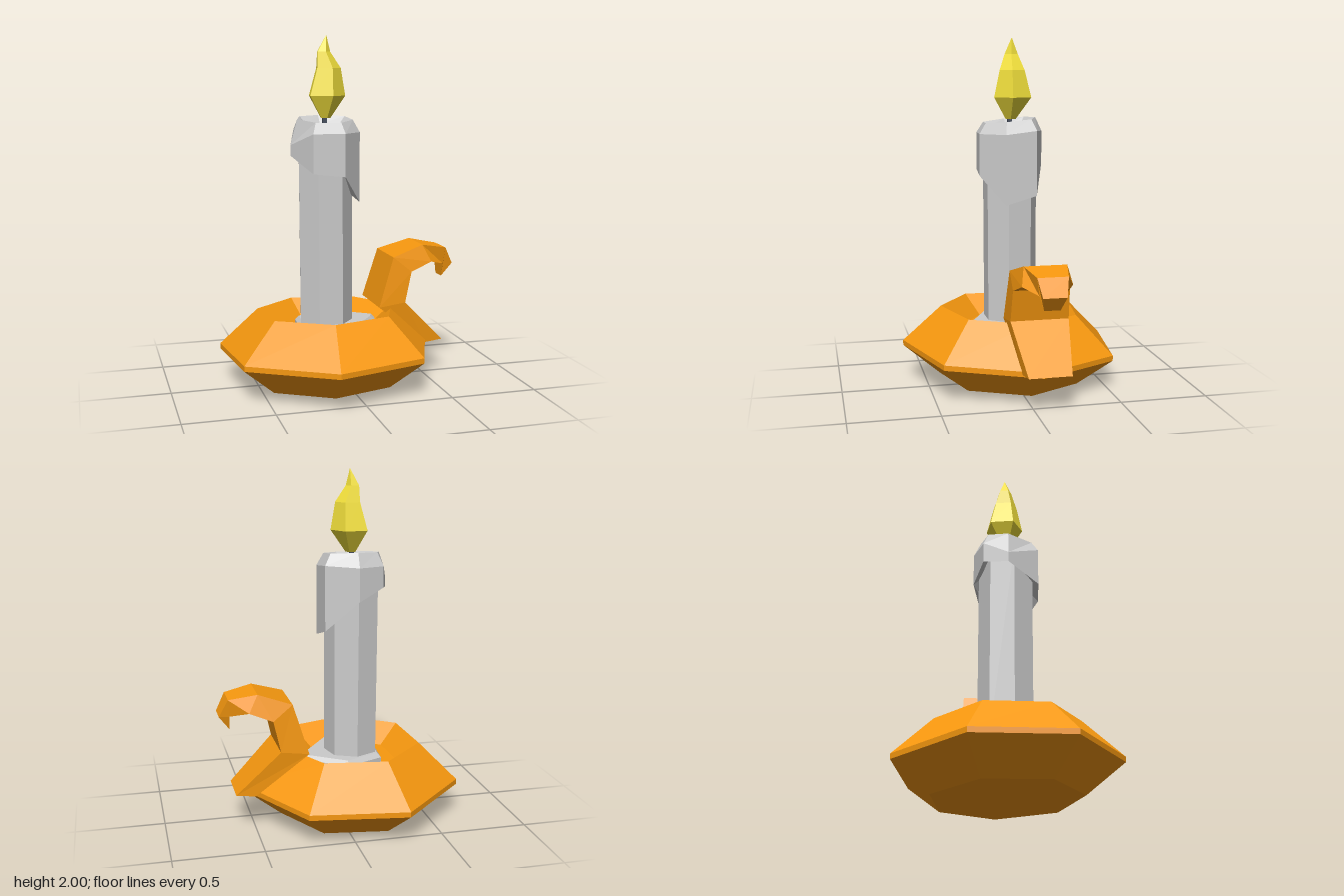
import * as THREE from 'three';

const ORANGE = 0xf7980f, YELLOW = 0xf2e03c, DARK = 0x444d5c, WAX = 0xcccccc;
const SIDES = 7;

// Skin a stack of equal-length point rings and close both ends
function loft(name, color, rings) {
  const n = rings[0].length, pos = [];
  const tri = (a, b, c) => pos.push(...a, ...b, ...c);
  for (let i = 0; i < rings.length - 1; i++) {
    for (let j = 0; j < n; j++) {
      const k = (j + 1) % n, lo = rings[i], hi = rings[i + 1];
      tri(lo[j], hi[j], lo[k]);
      tri(lo[k], hi[j], hi[k]);
    }
  }
  const first = rings[0], last = rings[rings.length - 1];
  for (let j = 1; j < n - 1; j++) {
    tri(first[0], first[j], first[j + 1]);
    tri(last[0], last[j + 1], last[j]);
  }
  const geo = new THREE.BufferGeometry();
  geo.setAttribute('position', new THREE.Float32BufferAttribute(pos, 3));
  geo.computeVertexNormals();
  const mesh = new THREE.Mesh(geo, new THREE.MeshStandardMaterial({ color, flatShading: true }));
  mesh.name = name;
  return mesh;
}

// Regular polygon ring; tilt raises the ring towards +z
function ring(cx, cz, r, y, startDeg, sides = SIDES, tilt = 0) {
  return Array.from({ length: sides }, (_, i) => {
    const a = THREE.MathUtils.degToRad(startDeg) + (i / sides) * Math.PI * 2;
    const z = cz + r * Math.sin(a);
    return [cx + r * Math.cos(a), y + tilt * z, z];
  });
}

export function createModel() {
  const model = new THREE.Group();
  model.name = 'candleHolder';

  // Dish: underside, belt, sloped rim and sunken floor, slightly tilted
  const dishProfile = [[0.42, 0.017], [0.635, 0.185], [0.635, 0.215], [0.41, 0.428], [0.275, 0.32]];
  model.add(loft('dish', ORANGE,
    dishProfile.map(([r, y]) => ring(-0.09, 0, r, y, 98, SIDES, 0.035))));

  // Curled handle: [outer x, outer y, inner x, inner y, outer half width, inner half width]
  const handleZ = -0.07;
  const handleSections = [
    [0.50, 0.20, 0.61, 0.21, 0.13, 0.12],
    [0.20, 0.44, 0.36, 0.46, 0.17, 0.165],
    [0.29, 0.73, 0.40, 0.64, 0.155, 0.16],
    [0.48, 0.79, 0.53, 0.69, 0.12, 0.14],
    [0.64, 0.76, 0.63, 0.66, 0.085, 0.07],
    [0.69, 0.66, 0.63, 0.58, 0.065, 0.045],
  ];
  model.add(loft('handle', ORANGE, handleSections.map(([ox, oy, ix, iy, wo, wi]) => [
    [ix, iy, handleZ - wi], [ix, iy, handleZ + wi],
    [ox, oy, handleZ + wo], [ox, oy, handleZ - wo],
  ])));

  // Wax puddle on the dish floor
  const puddle = [[0.22, -0.05], [0.2, 0], [0, 0.28], [-0.13, 0.21], [-0.27, 0.14], [-0.25, -0.13], [-0.03, -0.23]];
  model.add(loft('waxPuddle', WAX, [[1, 0.3], [1, 0.345], [0.9, 0.37]].map(([s, y]) =>
    puddle.map(([x, z]) => [-0.05 + (x + 0.05) * s, y, z * s]))));

  // Candle body
  model.add(loft('candleBody', WAX, [
    ring(-0.1, 0, 0.157, 0.31, 90 - 180 / SIDES),
    ring(-0.105, 0, 0.16, 1.45, 90 - 180 / SIDES),
  ]));

  // Melted wax cap: each corner drips to its own height
  const drips = [ // x, z, drip height, shoulder height
    [0.09, 0.06, 1.06, 1.46], [-0.03, 0.19, 1.22, 1.46], [-0.21, 0.175, 1.24, 1.46],
    [-0.30, 0.0, 1.33, 1.39], [-0.25, -0.14, 1.35, 1.47], [-0.1, -0.19, 1.28, 1.47],
    [0.08, -0.12, 1.11, 1.48],
  ];
  const capRing = (scale, height) => drips.map((d) =>
    [-0.1 + (d[0] + 0.1) * scale, height(d), d[1] * scale]);
  model.add(loft('meltedWax', WAX, [
    capRing(0.7, (d) => d[2] + 0.05),
    capRing(1, (d) => d[2]),
    capRing(1, (d) => d[3]),
    capRing(0.8, (d) => 1.535 - 0.08 * d[1]),
    capRing(0.58, () => 1.5),
  ]));

  // Wick
  model.add(loft('wick', DARK, [
    ring(-0.1, 0, 0.016, 1.48, 45, 4),
    ring(-0.1, 0, 0.016, 1.57, 45, 4),
  ]));

  // Flame: [centre x, centre z, radius, height]
  const flame = [
    [-0.095, -0.005, 0.03, 1.54], [-0.09, -0.015, 0.112, 1.665],
    [-0.08, -0.01, 0.075, 1.82], [-0.105, -0.01, 0.04, 1.91], [-0.088, -0.01, 0.002, 2.0],
  ];
  model.add(loft('flame', YELLOW, flame.map(([x, z, r, y]) => ring(x, z, r, y, 10, 5))));

  return model;
}
